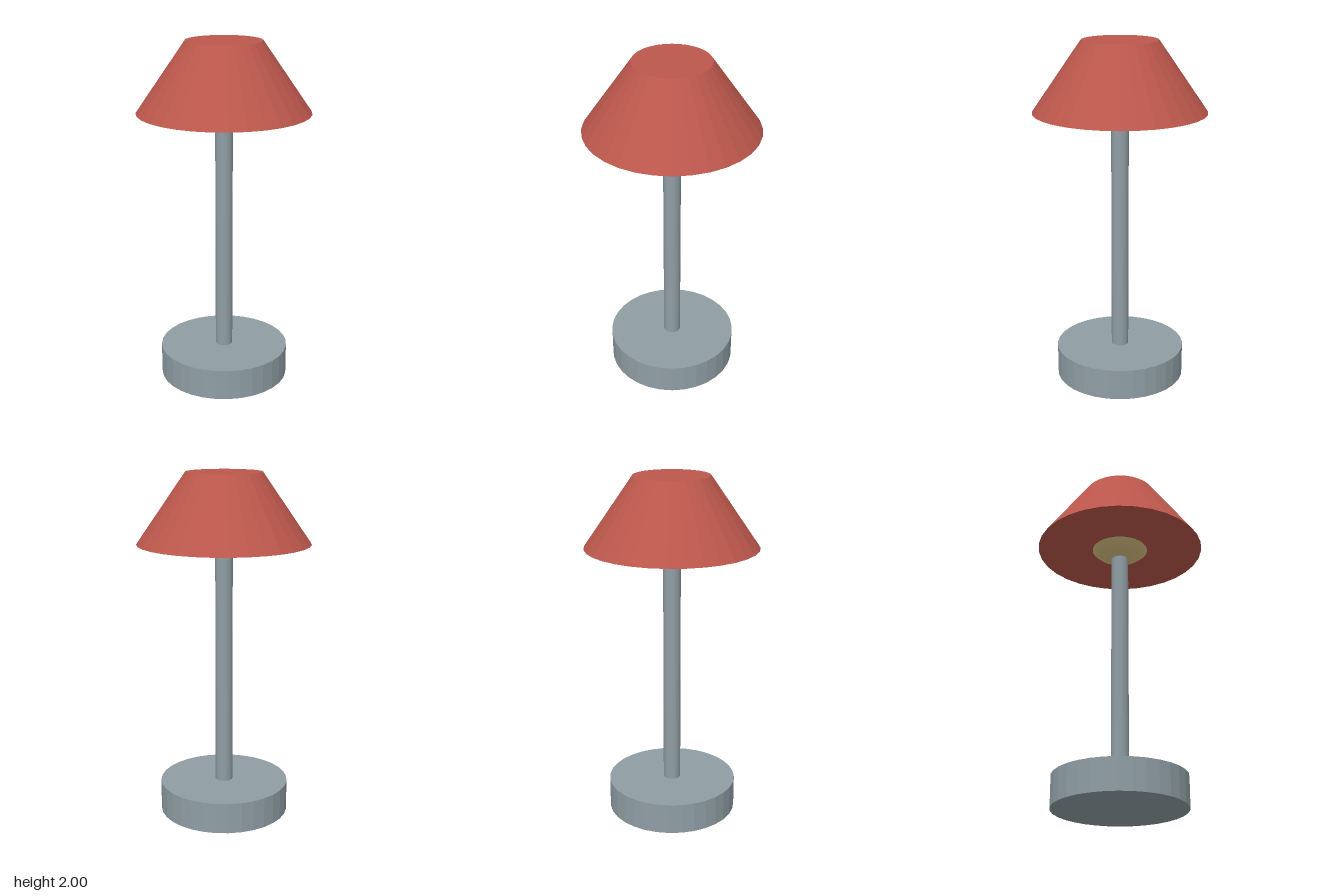
import * as THREE from 'three';

export function createModel() {
  const lamp = new THREE.Group();
  lamp.name = 'tableLamp';

  const metal = new THREE.MeshStandardMaterial({ color: 0x8f9ea4, flatShading: true });
  const red = new THREE.MeshStandardMaterial({ color: 0xbc574c, flatShading: true });
  const glow = new THREE.MeshStandardMaterial({ color: 0xd9c080 });

  const add = (name, geometry, material, y) => {
    const mesh = new THREE.Mesh(geometry, material);
    mesh.name = name;
    mesh.position.y = y;
    lamp.add(mesh);
  };

  // Upright closed cylinder or cone between two heights
  const addRound = (name, topRadius, bottomRadius, y0, y1, sides, material) =>
    add(name, new THREE.CylinderGeometry(topRadius, bottomRadius, y1 - y0, sides), material, (y0 + y1) / 2);

  // Heavy foot, slim stem and closed conical shade
  addRound('base', 0.377, 0.377, 0, 0.18, 32, metal);
  addRound('stem', 0.05, 0.05, 0.18, 1.65, 32, metal);
  addRound('shade', 0.216, 0.494, 1.6, 2, 32, red);

  // Bulb, its lower cap showing beneath the shade
  add('bulb', new THREE.SphereGeometry(0.233, 32, 24), glow, 1.764);

  return lamp;
}
